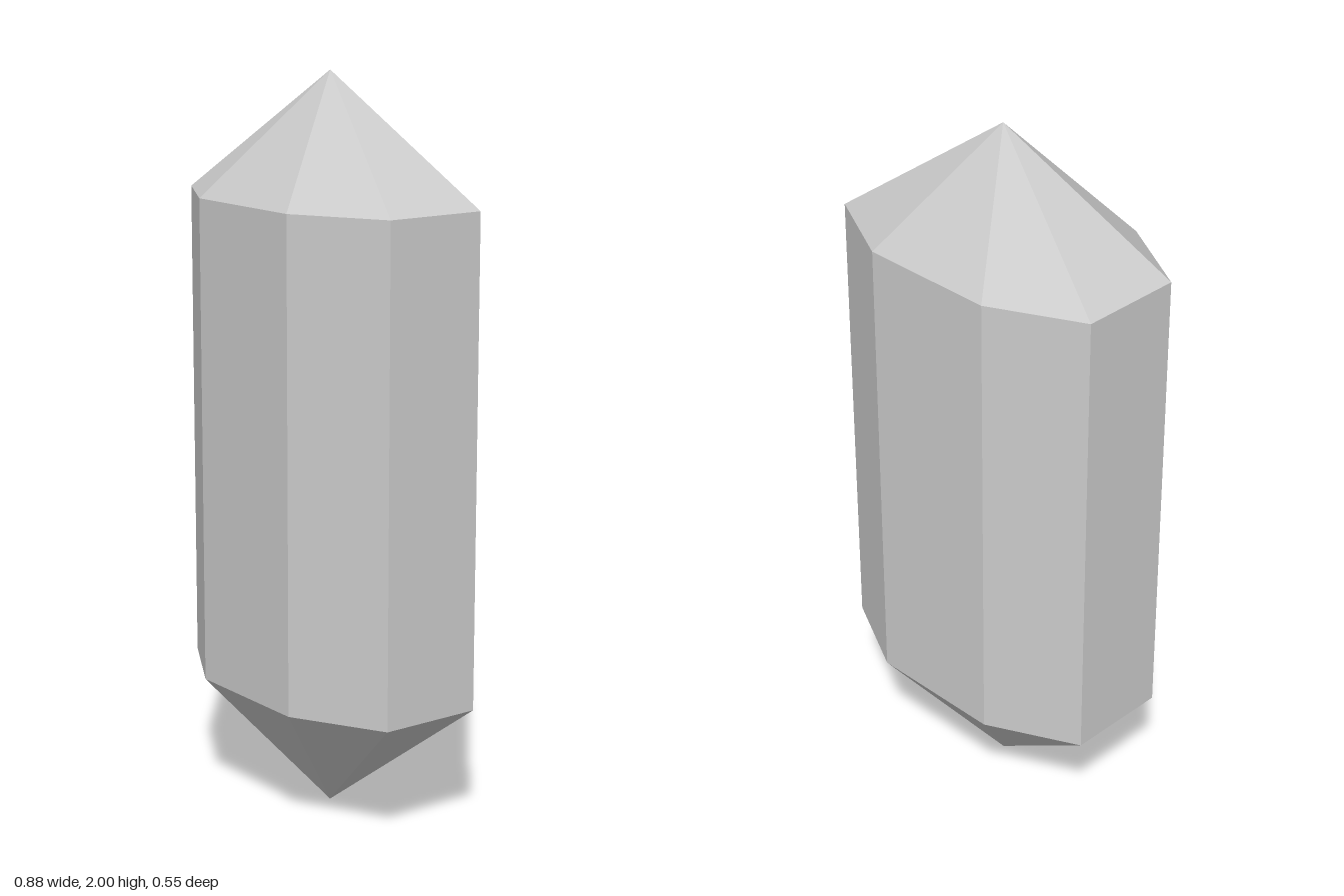
import * as THREE from 'three';

// Crystal outline in x, z: a flattened octagon, clockwise seen from above
const OUTLINE = [
  [-0.172, -0.273], [0.208, -0.262], [0.438, -0.132], [0.42, 0.15],
  [0.169, 0.274], [-0.21, 0.262], [-0.438, 0.121], [-0.422, -0.161],
];
const LOW = 0.352, HIGH = 1.669, TIP_Z = -0.006;

const material = new THREE.MeshStandardMaterial({ color: 0xcccccc, flatShading: true });

// Builds one faceted part; facet(a, b) lists the triangles on an outline edge
function facetedPart(name, facet) {
  const corners = OUTLINE.flatMap((a, i) => facet(a, OUTLINE[(i + 1) % OUTLINE.length]));
  const geometry = new THREE.BufferGeometry().setFromPoints(corners);
  geometry.computeVertexNormals();
  const mesh = new THREE.Mesh(geometry, material);
  mesh.name = name;
  return mesh;
}

const at = ([x, z], y) => new THREE.Vector3(x, y, z);

export function createModel() {
  const group = new THREE.Group();
  group.name = 'crystal';
  const top = new THREE.Vector3(0, 2, TIP_Z);
  const bottom = new THREE.Vector3(0, 0, TIP_Z);

  group.add(
    // Pointed cap
    facetedPart('upperPoint', (a, b) => [top, at(b, HIGH), at(a, HIGH)]),
    // Upright prism walls
    facetedPart('shaft', (a, b) => [
      at(a, LOW), at(a, HIGH), at(b, HIGH),
      at(a, LOW), at(b, HIGH), at(b, LOW),
    ]),
    // Pointed base
    facetedPart('lowerPoint', (a, b) => [bottom, at(a, LOW), at(b, LOW)]),
  );
  return group;
}
